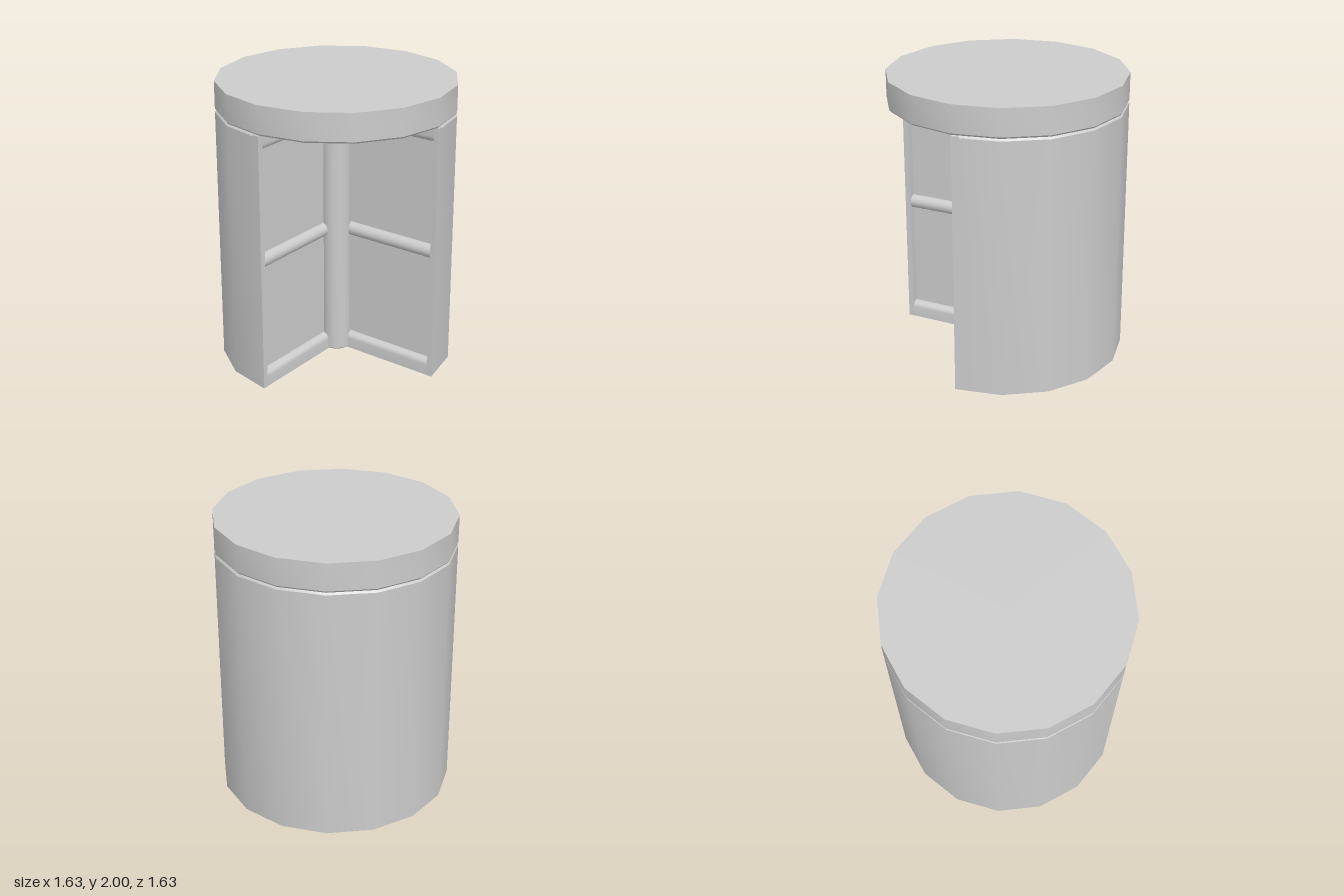
import * as THREE from 'three';
import { toCreasedNormals } from 'three/addons/utils/BufferGeometryUtils.js';

const R = 0.815;      // outer radius of the sixteen-sided drum
const H = 1.8;        // height of the drum below the lid
const D = 0.05;       // depth of the recessed panels
const STILE = 0.775;  // distance from the axis to the outer stile

export function createModel() {
  const model = new THREE.Group();
  const material = new THREE.MeshStandardMaterial({ color: 0xcccccc });
  const thin = new THREE.MeshStandardMaterial({ color: 0xcccccc, side: THREE.DoubleSide });

  const add = (parent, name, geometry, mat = material) => {
    const mesh = new THREE.Mesh(geometry, mat);
    mesh.name = name;
    parent.add(mesh);
    return mesh;
  };
  const lathe = (points, segments, start, length) => toCreasedNormals(
    new THREE.LatheGeometry(points.map(p => new THREE.Vector2(...p)), segments, start, length), 0.5);
  const extrude = (points, depth) => new THREE.ExtrudeGeometry(
    new THREE.Shape(points.map(p => new THREE.Vector2(...p))), { depth, bevelEnabled: false });

  // Lid with a small chamfer underneath
  add(model, 'lid', lathe([[0, H], [R - 0.01, H], [R, H + 0.012], [R, 2], [0, 2]], 16));

  // Three quarters of a drum, open towards the front
  add(model, 'drum', lathe([[0, 0], [R, 0], [R, H - 0.014], [R - 0.012, H], [0, H]],
    12, Math.PI / 4, Math.PI * 1.5));

  // Round post on the axis
  add(model, 'centrePost', lathe([[0, 0.002], [0.09, 0.002], [0.1, 0.012], [0.1, H], [0, H]], 16));

  // Rail section: flat face with a quarter-round edge towards the panel (dir = +1 faces up)
  const railSection = (outer, inner, dir) => {
    const points = [[D, outer], [D, inner]];
    const r = 0.04;
    for (let i = 0; i <= 6; i++) {
      const a = (i / 6) * Math.PI / 2;
      points.push([r * (1 - Math.sin(a)), inner - dir * r * (1 - Math.cos(a))]);
    }
    points.push([0, outer]);
    return points;
  };

  // The two panelled walls; local x runs along the wall and z faces the opening
  for (const side of [1, -1]) {
    const wall = new THREE.Group();
    wall.name = side > 0 ? 'leftWall' : 'rightWall';
    wall.rotation.y = -side * Math.PI / 4;
    model.add(wall);

    add(wall, 'panel', new THREE.PlaneGeometry(STILE, H), thin)
      .position.set(side * STILE / 2, H / 2, -D);

    const stile = extrude([[STILE, D], [R - 0.01, D], [R, 0], [STILE, 0]]
      .map(([x, z]) => [side * x, z]), H - 0.005).rotateX(-Math.PI / 2);
    // Outline was drawn with depth as y, so it already lies behind the wall face
    stile.translate(0, 0, 0);
    add(wall, 'outerStile', flipDepth(stile));

    const length = STILE - 0.05;
    const centre = side * (0.05 + length / 2);
    const rails = { bottomRail: [0.001, 0.115, 1], topRail: [H - 0.001, 1.69, -1] };
    for (const [name, args] of Object.entries(rails)) {
      const geometry = extrude(railSection(...args), length)
        .translate(0, 0, -length / 2).rotateY(Math.PI / 2);
      add(wall, name, toCreasedNormals(geometry, 0.5)).position.x = centre;
    }

    // Round middle rail, half sunk into the panel
    add(wall, 'middleRail', new THREE.CylinderGeometry(0.048, 0.048, length, 16).rotateZ(Math.PI / 2))
      .position.set(centre, 0.915, -D);
  }
  return model;
}

// Keeps the stile's depth on the inner side of the wall face
function flipDepth(geometry) {
  geometry.computeBoundingBox();
  if (geometry.boundingBox.max.z > 0.001) geometry.translate(0, 0, -geometry.boundingBox.max.z);
  return geometry;
}
